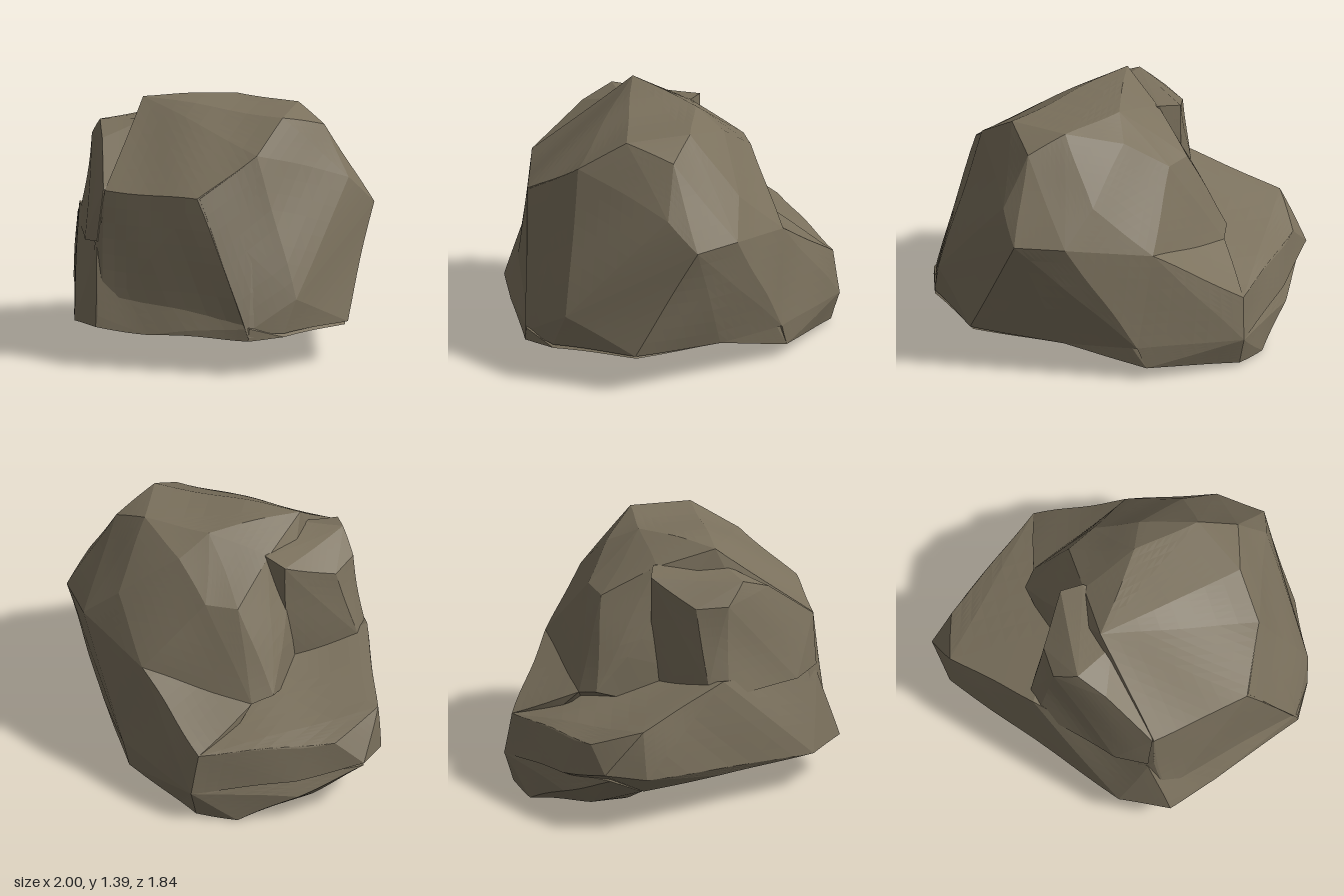
import * as THREE from 'three';
import { ConvexGeometry } from 'three/addons/geometries/ConvexGeometry.js';

// gentle rule-based unevenness, the same for equal positions so no seams open
function roughen(p) {
  const a = 0.006;
  const { x, y, z } = p;
  return p.set(
    x + a * Math.sin(9 * y + 5 * z + 1) * Math.cos(7 * x),
    y + a * Math.sin(8 * x - 6 * z + 2),
    z + a * Math.sin(10 * x + 7 * y) * Math.cos(5 * z + 1)
  );
}

// convex chunk of stone from its corners, each face split and roughened
function chunk(corners) {
  const hull = new ConvexGeometry(corners.map((c) => new THREE.Vector3(...c)));
  const src = hull.attributes.position;
  const out = [];
  const split = (a, b, c, level) => {
    if (level === 0) {
      for (const p of [a, b, c]) out.push(...roughen(p.clone()).toArray());
      return;
    }
    const ab = a.clone().add(b).multiplyScalar(0.5);
    const bc = b.clone().add(c).multiplyScalar(0.5);
    const ca = c.clone().add(a).multiplyScalar(0.5);
    split(a, ab, ca, level - 1);
    split(ab, b, bc, level - 1);
    split(ca, bc, c, level - 1);
    split(ab, bc, ca, level - 1);
  };
  const v = (i) => new THREE.Vector3().fromBufferAttribute(src, i);
  for (let i = 0; i < src.count; i += 3) split(v(i), v(i + 1), v(i + 2), 3);
  const geo = new THREE.BufferGeometry();
  geo.setAttribute('position', new THREE.Float32BufferAttribute(out, 3));
  geo.computeVertexNormals();
  return geo;
}

export function createModel() {
  const group = new THREE.Group();
  group.name = 'rock';
  const stone = new THREE.MeshStandardMaterial({ color: 0x7b715d });
  stone.name = 'stone';

  const parts = {
    // wide lower slab with the sloping ledge on its right and rear
    ledge: [
      [0.94, 0.2, 0.42], [0.83, 0.2, 0.61], [0.3, 0.2, 0.82], [0, 0.22, 0.92], [-0.25, 0.2, 0.79],
      [-0.6, 0.2, 0.3], [-0.87, 0.2, -0.12], [0.64, 0.2, -0.45], [0.98, 0.21, -0.05],
      [0, 0.28, 0.9], [0.83, 0.27, 0.6], [-1, 0.34, -0.33], [-0.96, 0.3, -0.1],
      [-0.86, 0.48, -0.42], [-0.75, 0.46, -0.51], [-0.95, 0.58, -0.13], [-0.6, 0.75, 0.3],
      [-0.26, 0.43, -0.87], [-0.24, 0.19, -0.92], [-0.08, 0.63, 0.8], [-0.33, 0.66, -0.1],
      [-0.7, 0.25, -0.58]
    ],
    // rear slope rising from the ledge to the tall mass
    rearSlope: [
      [0.22, 0.73, -0.7], [-0.37, 0.59, -0.5], [-0.26, 0.43, -0.87], [-0.24, 0.19, -0.92],
      [0.33, 0.2, -0.73], [0.28, 0.07, -0.74], [-0.1, 0.05, -0.82], [0.2, 0.4, -0.3]
    ],
    // wedge hanging below the rear half
    foot: [
      [0.64, 0.2, -0.45], [-0.87, 0.2, -0.13], [-0.98, 0.3, -0.3], [-0.72, 0.15, -0.57],
      [-0.24, 0.19, -0.92], [-0.24, 0.03, -0.87], [-0.45, 0, -0.76], [-0.72, 0.09, -0.42],
      [-0.6, 0.07, -0.24], [0.2, 0.06, -0.4], [0.28, 0.07, -0.74], [-0.1, 0.04, -0.83],
      [0.36, 0.22, -0.7]
    ],
    // tall main mass
    tower: [
      [-0.2, 1.1, -0.38], [-0.2, 1.27, -0.08], [-0.2, 1.39, 0.25], [0.65, 1.34, 0.08],
      [0.5, 1.36, -0.25], [0.12, 1.38, -0.18], [0.2, 1.28, -0.36], [-0.04, 1.12, -0.46],
      [0.5, 1.02, -0.52], [-0.45, 0.62, -0.4], [-0.37, 0.59, -0.5], [0.22, 0.73, -0.7],
      [-0.33, 0.66, -0.1], [0.7, 0.84, -0.56], [0.92, 0.84, -0.39], [0.72, 1.27, -0.2],
      [0.88, 1, -0.21], [0.33, 0.2, -0.73], [0.64, 0.2, -0.45], [1, 0.23, -0.05],
      [0.96, 0.4, 0.35], [0.94, 0.22, 0.42], [0.68, 1.18, 0.35], [-0.05, 0.96, 0.78],
      [0.52, 0.96, 0.67], [0, 0.27, 0.86], [0.82, 0.25, 0.6], [-0.05, 0.7, 0.81],
      [-0.2, 0.3, 0.75]
    ],
    // lower shoulder standing on the ledge beside the tower
    shoulder: [
      [-0.2, 1.28, -0.1], [-0.15, 1.28, 0.3], [-0.33, 1.26, -0.1], [-0.37, 1.26, 0.4],
      [-0.49, 1.15, 0.33], [-0.5, 1.14, 0.15], [-0.59, 0.72, 0.22], [-0.58, 0.65, 0.33],
      [-0.33, 0.6, -0.1], [-0.25, 1.19, 0.54], [-0.06, 0.96, 0.78], [-0.08, 0.67, 0.8],
      [-0.25, 0.64, 0.7], [0.1, 0.6, 0.1], [0.1, 1.2, 0.1]
    ],
    // chamfered front corner
    cornerRib: [
      [0.53, 1.13, 0.43], [0.68, 1.18, 0.35], [0.53, 0.96, 0.66], [0.83, 0.22, 0.61],
      [0.93, 0.23, 0.42], [0.4, 0.5, 0.4]
    ]
  };

  for (const [name, corners] of Object.entries(parts)) {
    const mesh = new THREE.Mesh(chunk(corners), stone);
    mesh.name = name;
    group.add(mesh);
  }
  return group;
}
